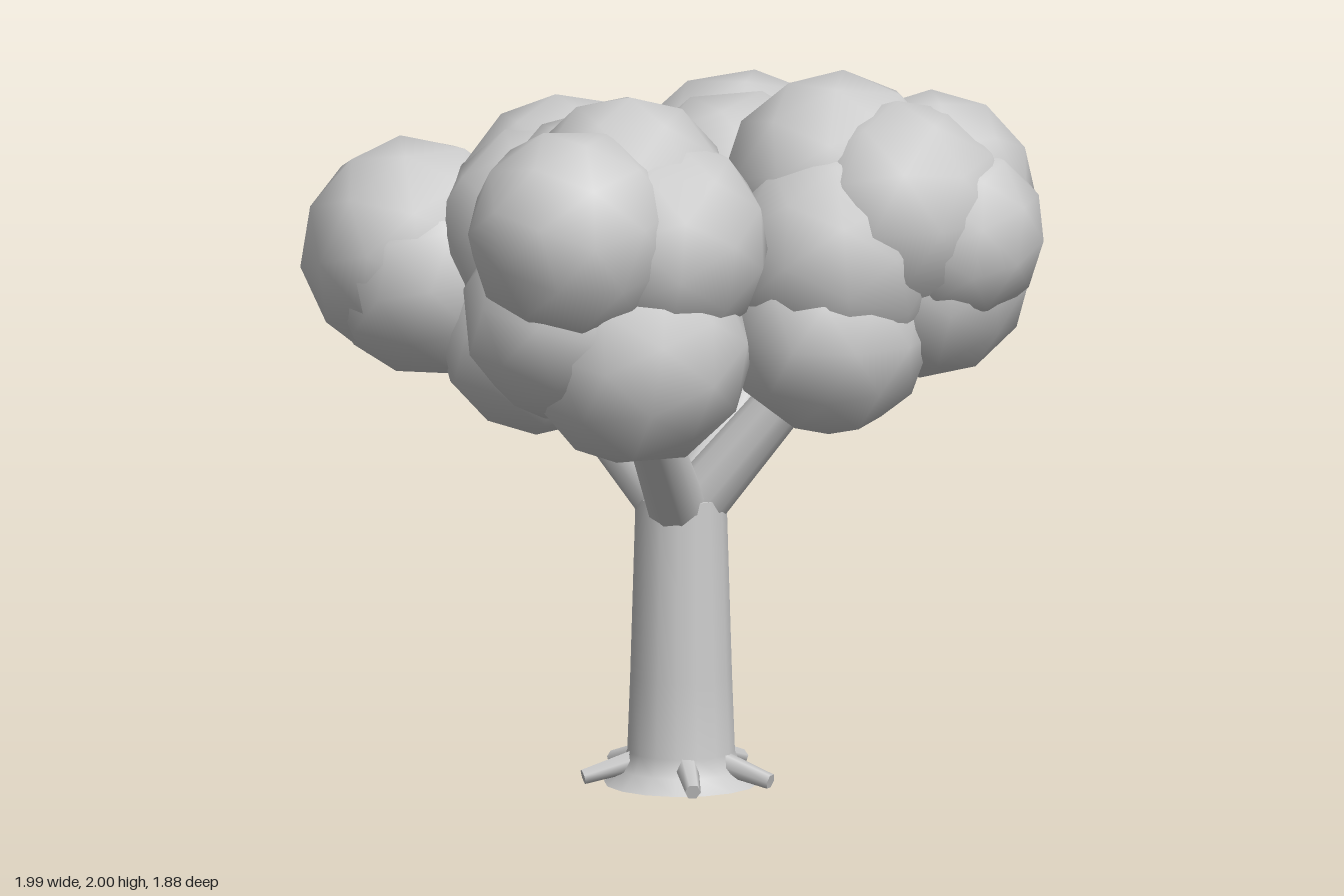
import * as THREE from 'three';

const CX = 0.065, CZ = -0.01; // trunk axis

// small seeded generator, used only to turn the leaf clumps
function makeRandom(seed) {
  return () => (seed = (seed * 16807) % 2147483647) / 2147483647;
}

export function createModel() {
  const tree = new THREE.Group();
  tree.name = 'tree';
  const grey = new THREE.MeshStandardMaterial({ color: 0xcccccc });
  grey.name = 'lightGrey';

  const add = (geometry, name, parent = tree) => {
    const mesh = new THREE.Mesh(geometry, grey);
    mesh.name = name;
    parent.add(mesh);
    return mesh;
  };

  // trunk with a flared foot; separate lathes keep the foot and the cut top crisp
  const profile = [[0, 0], [0.212, 0], [0.168, 0.04], [0.148, 0.09], [0.14, 0.3], [0.125, 0.8], [0, 0.8]];
  const part = (points, name) =>
    add(new THREE.LatheGeometry(points.map(([r, y]) => new THREE.Vector2(r, y)), 16), name).position.set(CX, 0, CZ);
  part(profile.slice(0, 2), 'trunkBase');
  part(profile.slice(1, 6), 'trunk');
  part(profile.slice(5), 'trunkTop');

  // tapered limb between two points
  const up = new THREE.Vector3(0, 1, 0);
  function limb(from, to, r0, r1, sides, name, parent) {
    const a = new THREE.Vector3(...from), b = new THREE.Vector3(...to);
    const dir = b.clone().sub(a);
    const mesh = add(new THREE.CylinderGeometry(r1, r0, dir.length(), sides), name, parent);
    mesh.position.copy(a).add(b).multiplyScalar(0.5);
    mesh.quaternion.setFromUnitVectors(up, dir.normalize());
  }

  // branches reaching into the crown
  const branches = new THREE.Group();
  branches.name = 'branches';
  tree.add(branches);
  for (const tip of [[0.18, 1.2, 0.48], [-0.29, 1.21, 0.12], [0.44, 1.21, -0.12], [0.14, 1.2, -0.44]]) {
    const start = [CX + (tip[0] - CX) * 0.06, 0.76, CZ + (tip[2] - CZ) * 0.06];
    limb(start, tip, 0.085, 0.065, 10, 'branch', branches);
  }

  // five short roots around the foot, at uneven angles
  const roots = new THREE.Group();
  roots.name = 'roots';
  tree.add(roots);
  for (const degrees of [0, 56, 140, 200, 280]) {
    const a = THREE.MathUtils.degToRad(degrees);
    const at = (r, y) => [CX + Math.cos(a) * r, y, CZ + Math.sin(a) * r];
    limb(at(0.13, 0.065), at(0.275, 0.026), 0.033, 0.022, 6, 'root', roots);
  }

  // leaf clumps: x, y, z, radius
  const clumps = [
    // left side
    [-0.68, 1.44, 0.13, 0.32], [-0.62, 1.39, 0.17, 0.285], [-0.3, 1.25, 0.13, 0.285],
    [-0.28, 1.57, 0.0, 0.32], [-0.27, 1.53, 0.13, 0.31], [-0.07, 1.57, 0.18, 0.335],
    // front
    [0.12, 1.71, 0.42, 0.29], [0.23, 1.6, 0.44, 0.305], [0.075, 1.65, 0.655, 0.295],
    [0.18, 1.3, 0.48, 0.32], [0.01, 1.4, 0.55, 0.3],
    // back
    [0.03, 1.54, -0.41, 0.32], [-0.03, 1.53, -0.56, 0.35], [0.1, 1.5, -0.62, 0.325],
    [0.18, 1.27, -0.48, 0.29], [-0.2, 1.36, -0.4, 0.28],
    // right side
    [0.4, 1.65, -0.29, 0.315], [0.47, 1.49, -0.17, 0.32], [0.61, 1.6, -0.27, 0.31], [0.63, 1.62, -0.41, 0.29],
    [0.63, 1.42, -0.37, 0.3], [0.74, 1.54, -0.33, 0.255], [0.46, 1.27, -0.13, 0.285],
  ];
  const crown = new THREE.Group();
  crown.name = 'crown';
  tree.add(crown);
  const random = makeRandom(7);
  const ball = new THREE.IcosahedronGeometry(1, 1);
  for (const [x, y, z, r] of clumps) {
    const clump = add(ball, 'leafClump', crown);
    clump.position.set(x, y, z);
    clump.rotation.set(random() * 6.28, random() * 6.28, random() * 6.28);
    clump.scale.setScalar(r);
  }
  return tree;
}
